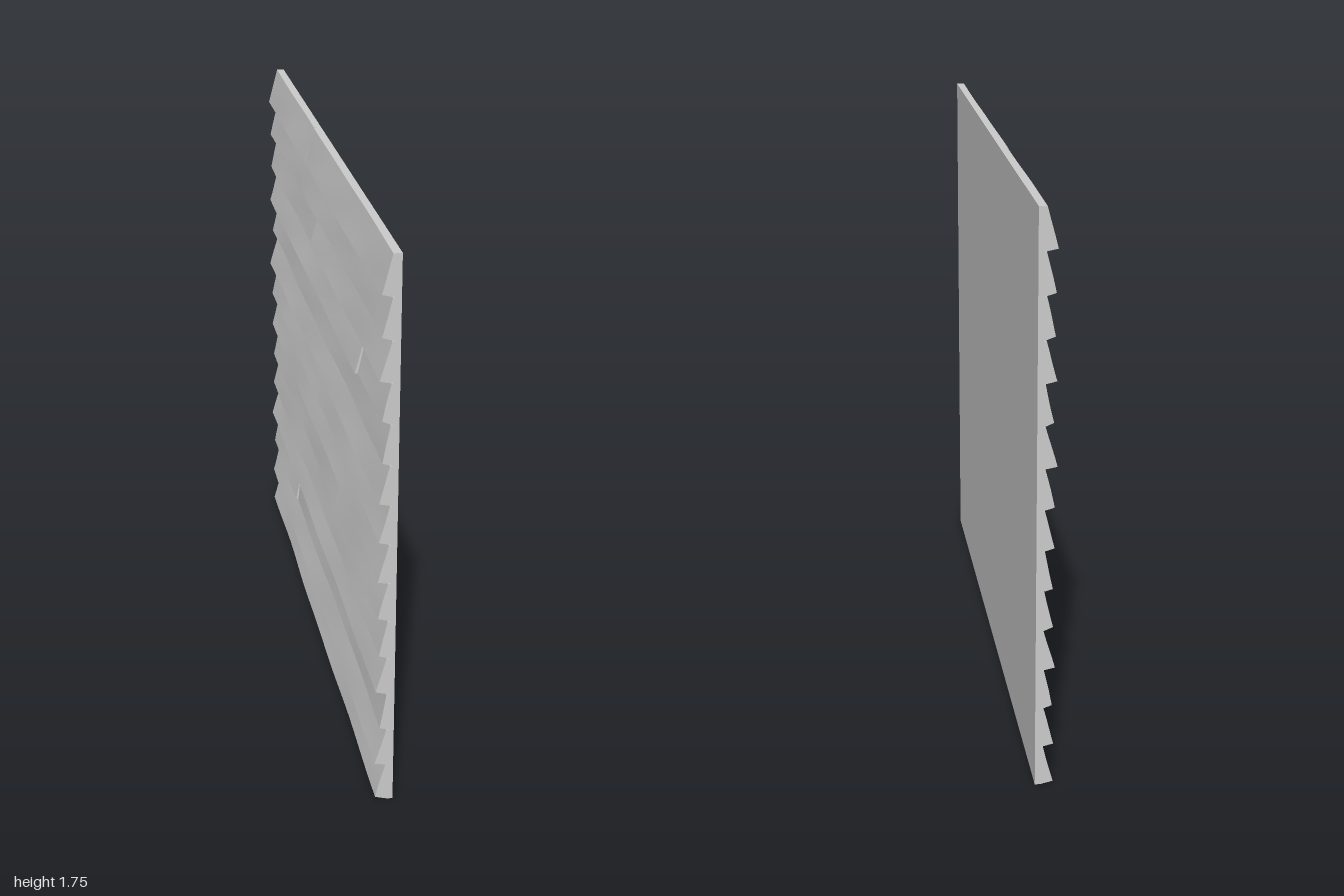
import * as THREE from 'three';
import { toCreasedNormals } from 'three/addons/utils/BufferGeometryUtils.js';

const HEIGHT = 1.745, ROWS = 14, PITCH = HEIGHT / ROWS, BACK = 0.012;

// how far the lower lip of each row sticks out, bottom row first
const LIPS = [0.025, 0.028, 0.02, 0.028, 0.022, 0.024, 0.025, 0.025, 0.028, 0.018, 0.028, 0.027, 0.023, 0.028];
// rows made of two boards: z of the joint, and how far the second board is kicked out
const JOINTS = { 2: [-0.49, -0.007], 5: [0.29, 0.005], 10: [0.65, -0.006], 11: [-0.12, 0.006], 13: [-0.22, 0.001] };

export function createModel() {
  const group = new THREE.Group();
  group.name = 'clapboardWall';
  const material = new THREE.MeshStandardMaterial({ color: 0xcccccc });

  // flat backing sheet
  const sheet = new THREE.Mesh(new THREE.BoxGeometry(0.017, HEIGHT, 2), material);
  sheet.name = 'backingSheet';
  sheet.position.set(0.0195, HEIGHT / 2, 0);
  group.add(sheet);

  // wedge-shaped board with a gently warped, weathered face
  function addBoard(row, z0, z1, lip, seed) {
    const length = z1 - z0;
    const geo = new THREE.BoxGeometry(1, 1, 1, 1, 4, Math.max(4, Math.round(length * 16)));
    const pos = geo.attributes.position;
    for (let i = 0; i < pos.count; i++) {
      const outer = 0.5 - pos.getX(i), t = pos.getY(i) + 0.5;
      const z = z0 + (pos.getZ(i) + 0.5) * length;
      const warp = 0.0014 * Math.sin(z * 5.3 + seed * 2.1 + t * 1.5) + 0.001 * Math.sin(z * 11 - seed * 1.3 - t * 4);
      const edge = 0.0025 * Math.sin(z * 4.1 + seed * 3.7) + 0.0012 * Math.sin(z * 9.7 + seed);
      const depth = THREE.MathUtils.lerp(BACK + lip, 0.008, t) + warp * (1 - 0.5 * t);
      pos.setXYZ(i,
        BACK - outer * depth,
        row * PITCH + t * PITCH + outer * (1 - t) * (0.01 + edge),
        z);
    }
    const board = new THREE.Mesh(toCreasedNormals(geo, 0.6), material);
    board.name = 'board';
    group.add(board);
  }

  for (let row = 0; row < ROWS; row++) {
    const lip = LIPS[row], joint = JOINTS[row];
    if (!joint) {
      addBoard(row, -1, 1, lip, row + 1);
    } else {
      const [z, kick] = joint;
      addBoard(row, -1, z - 0.002, lip - Math.max(kick, 0), row + 1);
      addBoard(row, z + 0.002, 1, lip + Math.min(kick, 0), row + 20);
    }
  }
  return group;
}
